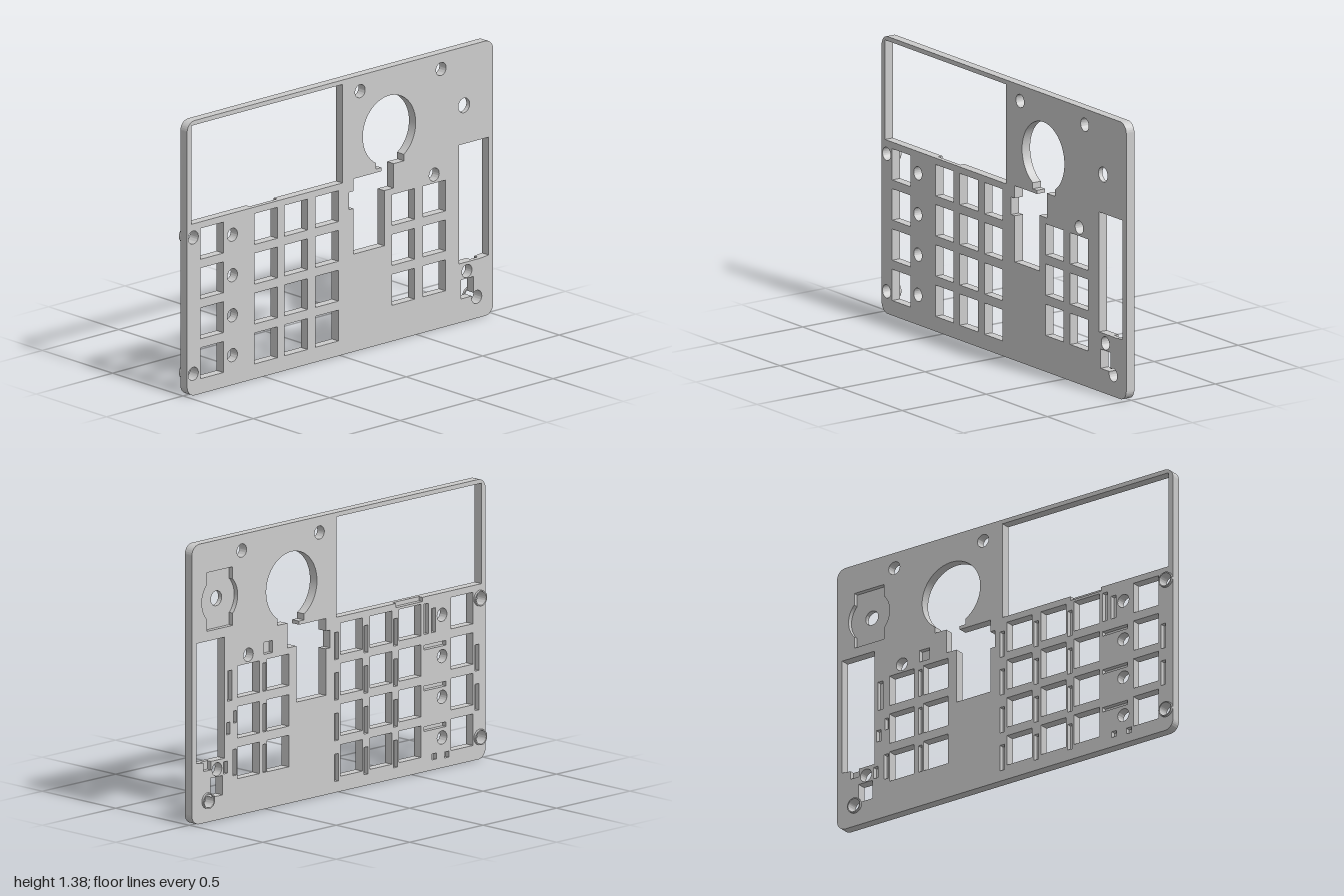
import * as THREE from 'three';
import { toCreasedNormals } from 'three/addons/utils/BufferGeometryUtils.js';

const FRONT = 0.03, BACK = -0.018, FLOOR = 0.006;
const material = new THREE.MeshStandardMaterial({ color: 0xcccccc });

// Outline helpers
const poly = (pts) => new THREE.Shape(pts.map(([x, y]) => new THREE.Vector2(x, y)));
const rect = (x0, y0, x1, y1) => poly([[x0, y0], [x1, y0], [x1, y1], [x0, y1]]);
const circle = (x, y, r) => new THREE.Shape().absarc(x, y, r, 0, Math.PI * 2, false);

function slab(name, shape, z0, z1) {
  const geo = new THREE.ExtrudeGeometry(shape, { depth: z1 - z0, bevelEnabled: false, curveSegments: 40 });
  geo.translate(0, 0, z0);
  const mesh = new THREE.Mesh(toCreasedNormals(geo, 0.5), material);
  mesh.name = name;
  return mesh;
}

function roundedOutline(w, h, r) {
  const s = new THREE.Shape();
  s.absarc(w - r, r, r, -Math.PI / 2, 0, false);
  s.absarc(w - r, h - r, r, 0, Math.PI / 2, false);
  s.absarc(-w + r, h - r, r, Math.PI / 2, Math.PI, false);
  s.absarc(-w + r, r, r, Math.PI, Math.PI * 1.5, false);
  s.closePath();
  return s;
}

// Round opening joined to the stepped slot beneath it
function keyholeOpening() {
  const s = new THREE.Shape();
  const cx = 0.321, cy = 1.07, r = 0.173;
  const a0 = Math.atan2(-0.144, 0.096), a1 = Math.atan2(-0.15, -0.086) + Math.PI * 2;
  s.absarc(cx, cy, r, a0, a1, false);
  [[0.235, 0.89], [0.27, 0.89], [0.27, 0.872], [0.088, 0.872], [0.088, 0.81], [0.059, 0.81],
    [0.059, 0.722], [0.088, 0.722], [0.088, 0.492], [0.289, 0.492], [0.289, 0.77], [0.35, 0.77],
    [0.35, 0.893], [0.417, 0.893]].forEach(([x, y]) => s.lineTo(x, y));
  s.closePath();
  return s;
}

// Small square opening merged with the corner screw hole
function cornerOpening() {
  const s = new THREE.Shape();
  s.moveTo(0.79, 0.118);
  s.lineTo(0.79, 0.214);
  s.lineTo(0.872, 0.214);
  s.absarc(0.893, 0.107, 0.033, 2.26, 2.80 - Math.PI * 2, true);
  s.closePath();
  return s;
}

// Round pocket with square tabs above and below
function dialPocket() {
  const s = new THREE.Shape();
  const cx = 0.81, cy = 1.09, r = 0.122, w = 0.088, t = 0.145;
  const a = Math.acos(w / r);
  s.absarc(cx, cy, r, -a, a, false);
  s.lineTo(cx + w, cy + t);
  s.lineTo(cx - w, cy + t);
  s.absarc(cx, cy, r, Math.PI - a, Math.PI + a, false);
  s.lineTo(cx - w, cy - t);
  s.lineTo(cx + w, cy - t);
  s.closePath();
  return s;
}

export function createModel() {
  const group = new THREE.Group();
  group.name = 'controlPanel';
  const plate = roundedOutline(1, 1.385, 0.05);
  const cut = (shape) => plate.holes.push(shape);

  // Display window and tall side slot, each with a notch in its lower edge at the back
  cut(poly([[-0.973, 0.866], [-0.57, 0.866], [-0.57, 0.845], [-0.39, 0.845], [-0.39, 0.866],
    [0.016, 0.866], [0.016, 1.363], [-0.973, 1.363]]));
  cut(poly([[0.778, 0.297], [0.87, 0.297], [0.87, 0.255], [0.92, 0.255], [0.92, 0.297],
    [0.97, 0.302], [0.97, 0.896], [0.778, 0.896]]));
  group.add(slab('windowLip', rect(-0.57, 0.845, -0.39, 0.866), FLOOR, FRONT));
  group.add(slab('slotLip', rect(0.87, 0.255, 0.92, 0.297), FLOOR, FRONT));

  cut(keyholeOpening());
  cut(cornerOpening());

  // Key openings
  const rows = [0.677, 0.477, 0.276, 0.075];
  const rightRows = [0.583, 0.382, 0.181];
  for (const y of rows)
    for (const x of [-0.914, -0.561, -0.363, -0.161]) cut(rect(x, y, x + 0.15, y + 0.156));
  for (const y of rightRows)
    for (const x of [0.34, 0.541]) cut(rect(x, y, x + 0.147, y + 0.156));

  // Indicator and screw holes
  const lamps = [0.757, 0.553, 0.351, 0.15];
  for (const y of lamps) cut(circle(-0.704, y, 0.033));
  for (const [x, y] of [[-0.96, 0.797], [-0.96, 0.11], [0.131, 1.305], [0.66, 1.305],
    [0.615, 0.782], [0.829, 0.251]]) cut(circle(x, y, 0.033));

  // Blind pockets in the back: cut through, then closed by a thin front floor
  const pocket = (x0, y0, x1, y1) => {
    cut(rect(x0, y0, x1, y1));
    group.add(slab('pocketFloor', rect(x0, y0, x1, y1), FLOOR, FRONT));
  };
  for (const y of rows)
    for (const x of [-0.4, -0.2, 0.003]) pocket(x, y - 0.02, x + 0.027, y + 0.115);
  for (const y of [0.44, 0.245]) pocket(-0.954, y, -0.928, y + 0.13);
  for (const y of lamps.slice(1)) pocket(-0.73, y + 0.05, -0.58, y + 0.073);
  for (const y of rightRows) pocket(0.495, y, 0.517, y + 0.14);
  pocket(-0.61, 0.68, -0.58, 0.83);
  pocket(-0.66, 0.68, -0.632, 0.8);
  pocket(-0.665, 0.05, -0.635, 0.08);
  pocket(-0.752, 0.045, -0.722, 0.075);
  pocket(0.45, 0.765, 0.51, 0.825);
  pocket(0.728, 0.575, 0.758, 0.725);
  pocket(0.74, 0.41, 0.766, 0.47);
  pocket(0.695, 0.46, 0.715, 0.52);
  pocket(0.695, 0.2, 0.72, 0.33);
  pocket(0.758, 0.22, 0.784, 0.28);

  // Dial pocket with its shaft hole
  cut(dialPocket());
  const dialFloor = dialPocket();
  dialFloor.holes.push(circle(0.81, 1.09, 0.037));
  group.add(slab('dialPocketFloor', dialFloor, FLOOR, FRONT));

  group.add(slab('plate', plate, BACK, FRONT));

  // Ring bosses on the back
  for (const [x, y] of [[-0.96, 0.797], [-0.96, 0.11], [0.893, 0.107]]) {
    const ring = circle(x, y, 0.039);
    ring.holes.push(circle(x, y, 0.033));
    group.add(slab('screwBoss', ring, -0.03, BACK));
  }
  return group;
}
